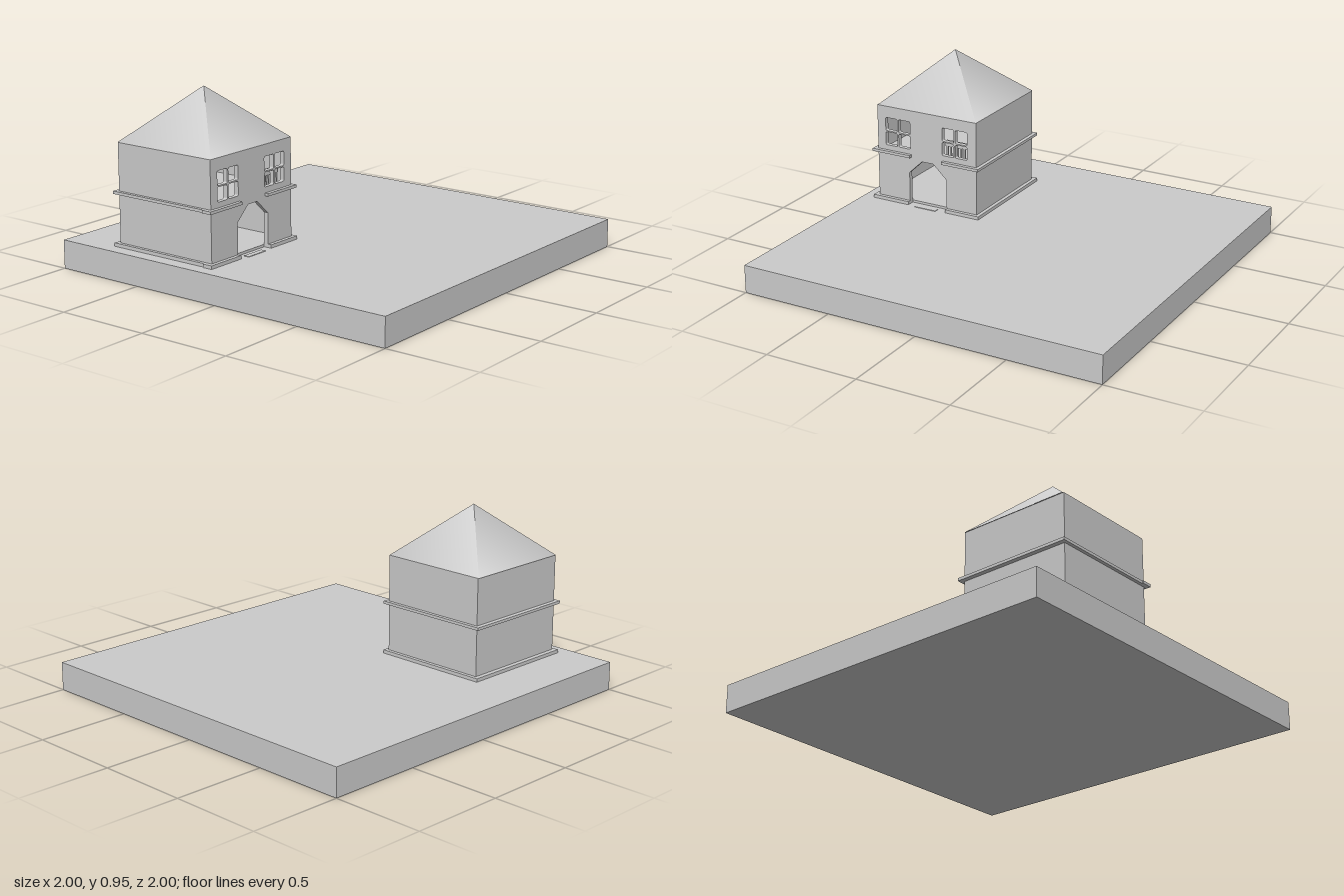
import * as THREE from 'three';

const material = new THREE.MeshStandardMaterial({ color: 0xcccccc, side: THREE.DoubleSide });

export function createModel() {
  const model = new THREE.Group();
  const house = new THREE.Group();
  house.name = 'house';

  function add(name, geometry, parent = house) {
    const mesh = new THREE.Mesh(geometry, material);
    mesh.name = name;
    parent.add(mesh);
    return mesh;
  }

  // box given by its lowest and highest corner
  function box(name, [x0, y0, z0], [x1, y1, z1], parent) {
    const g = new THREE.BoxGeometry(x1 - x0, y1 - y0, z1 - z0);
    g.translate((x0 + x1) / 2, (y0 + y1) / 2, (z0 + z1) / 2);
    return add(name, g, parent);
  }

  const L = -0.91, R = -0.3, B = -0.69, F = -0.09; // outer faces of the walls
  const ground = 0.15, top = 0.682, t = 0.025;

  box('groundSlab', [-1, 0, -1], [1, ground, 1], model);

  // front wall with an arched doorway and two four-pane windows
  const wall = new THREE.Shape();
  [[L, ground], [-0.715, ground], [-0.715, 0.33], [-0.635, 0.405], [-0.565, 0.405],
    [-0.485, 0.33], [-0.485, ground], [R, ground], [R, top], [L, top]]
    .forEach(([x, y], i) => (i ? wall.lineTo(x, y) : wall.moveTo(x, y)));
  wall.closePath();

  function pane(x, y, w, h) {
    const r = 0.008;
    const p = new THREE.Path();
    p.moveTo(x + r, y);
    p.lineTo(x + w - r, y);
    p.quadraticCurveTo(x + w, y, x + w, y + r);
    p.lineTo(x + w, y + h - r);
    p.quadraticCurveTo(x + w, y + h, x + w - r, y + h);
    p.lineTo(x + r, y + h);
    p.quadraticCurveTo(x, y + h, x, y + h - r);
    p.lineTo(x, y + r);
    p.quadraticCurveTo(x, y, x + r, y);
    return p;
  }
  for (const [x, y] of [[-0.86, 0.463], [-0.508, 0.465]]) {
    for (const dx of [0, 0.081]) {
      for (const dy of [0, 0.081]) wall.holes.push(pane(x + dx, y + dy, 0.072, 0.074));
    }
  }
  const front = new THREE.ExtrudeGeometry(wall, { depth: t, bevelEnabled: false, curveSegments: 3 });
  front.translate(0, 0, F - t);
  add('frontWall', front);

  // remaining walls and floors
  box('rightWall', [L, ground, B], [L + t, top, F - t]);
  box('leftWall', [R - t, ground, B], [R, top, F - t]);
  box('backWall', [L + t, ground, B], [R - t, top, B + t]);
  box('groundFloor', [L + t, ground, B + t], [R - t, 0.163, F - t]);
  box('upperFloor', [L + t, 0.42, B + t], [R - t, 0.435, F - t]);

  // ledges around the walls, open in front of the doorway
  function ledge(name, y0, y1, gapLeft, gapRight) {
    const g = new THREE.Group();
    g.name = name;
    const x0 = -0.928, x1 = -0.28, z0 = -0.715, z1 = -0.07;
    box('backStrip', [x0, y0, z0], [x1, y1, B], g);
    box('rightStrip', [x0, y0, B], [L, y1, F], g);
    box('leftStrip', [R, y0, B], [x1, y1, F], g);
    box('frontStripRight', [-0.935, y0, F], [gapLeft, y1, z1], g);
    box('rightCorner', [-0.935, y0, -0.125], [x0, y1, F], g);
    box('frontStripLeft', [gapRight, y0, F], [x1, y1, z1], g);
    house.add(g);
  }
  ledge('baseLedge', ground, 0.168, -0.715, -0.485);
  ledge('middleLedge', 0.42, 0.435, -0.70, -0.505);

  // low doorstep
  box('doorstep', [-0.67, ground, F], [-0.54, 0.153, -0.06]);

  // small slatted railing behind the left window
  const railing = new THREE.Group();
  railing.name = 'railing';
  box('topRail', [-0.52, 0.5, -0.16], [-0.34, 0.53, -0.145], railing);
  for (let i = 0; i < 9; i++) {
    const x = -0.517 + i * 0.021;
    box('slat', [x, 0.435, -0.157], [x + 0.009, 0.5, -0.148], railing);
  }
  house.add(railing);

  // pyramid roof
  const roof = new THREE.ConeGeometry(0.303 * Math.SQRT2, 0.272, 4);
  roof.rotateY(Math.PI / 4);
  roof.translate(-0.603, top + 0.136, -0.392);
  add('roof', roof);

  model.add(house);
  return model;
}
